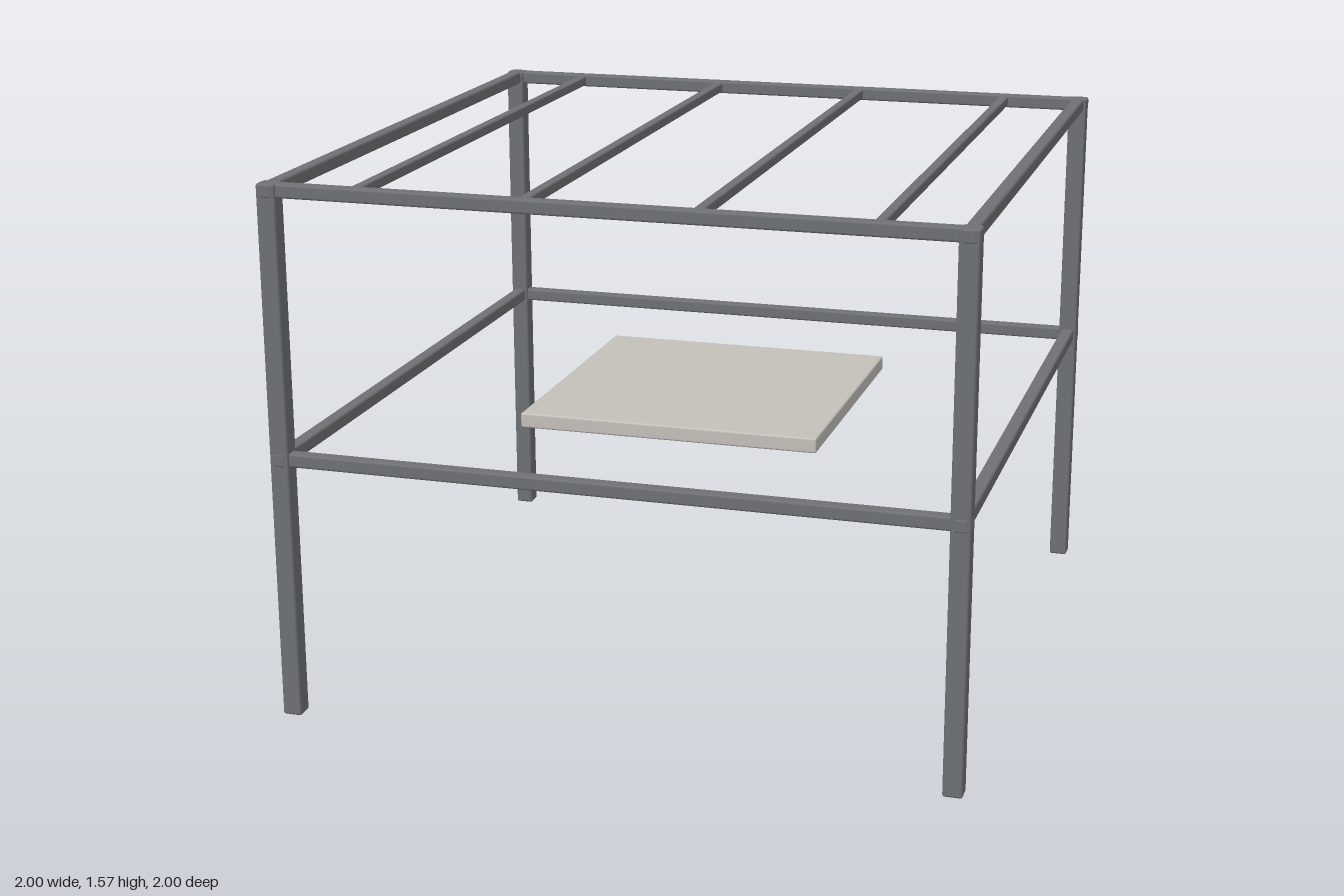
import * as THREE from 'three';
import { RoundedBoxGeometry } from 'three/addons/geometries/RoundedBoxGeometry.js';

const EDGE = 0.97;      // distance from centre to the post axes
const POST = 0.056, RAIL = 0.04, SLAT = 0.03;
const TOP_Y = 1.55, MID_Y = 0.777;

export function createModel() {
  const model = new THREE.Group();
  const frameMat = new THREE.MeshStandardMaterial({ color: 0x6e7174 });
  const plateMat = new THREE.MeshStandardMaterial({ color: 0xc4c0ba });

  // Bar or panel with softened edges
  const bar = (name, w, h, d, x, y, z, mat = frameMat, bevel = 0.007) => {
    const mesh = new THREE.Mesh(new RoundedBoxGeometry(w, h, d, 2, bevel), mat);
    mesh.name = name;
    mesh.position.set(x, y, z);
    model.add(mesh);
  };

  // Four corner posts
  const postHeight = TOP_Y + RAIL / 2;
  for (const x of [-EDGE, EDGE])
    for (const z of [-EDGE, EDGE])
      bar('cornerPost', POST, postHeight, POST, x, postHeight / 2, z);

  // Two square rings of rails; their ends show at the posts' outer faces
  for (const [name, y] of [['topRail', TOP_Y], ['middleRail', MID_Y]])
    for (const s of [-EDGE, EDGE]) {
      bar(name, 2, RAIL, RAIL, 0, y, s);
      bar(name, RAIL, RAIL, 2, s, y, 0);
    }

  // Four slats running front to back across the roof
  for (let i = 0; i < 4; i++)
    bar('roofSlat', SLAT, SLAT, 2 * EDGE, (i - 1.5) * EDGE / 2, TOP_Y, 0, frameMat, 0.005);

  // Floating square panel in the middle
  bar('centrePanel', 0.9, 0.045, 0.9, 0, MID_Y, 0, plateMat, 0.006);

  return model;
}
